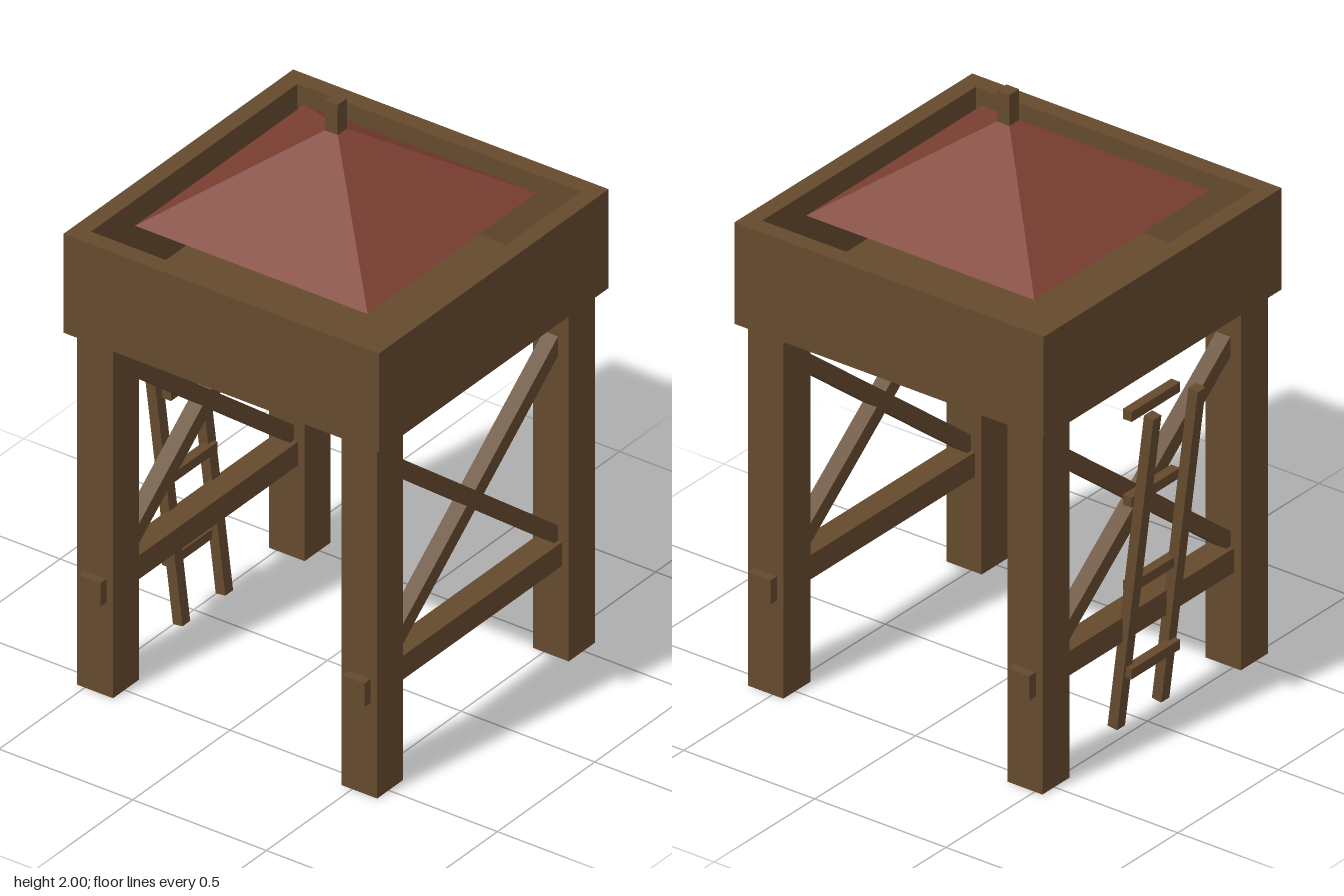
import * as THREE from 'three';

export function createModel() {
  const wood = new THREE.MeshStandardMaterial({ color: 0x654a2e });
  wood.name = 'brown wood';
  const red = new THREE.MeshStandardMaterial({ color: 0x7f4133, flatShading: true });
  red.name = 'red roof';

  const model = new THREE.Group();
  model.name = 'watchtower';
  const tower = new THREE.Group();
  tower.name = 'tower';
  tower.position.z = 0.032;
  model.add(tower);

  const box = (parent, name, size, pos) => {
    const mesh = new THREE.Mesh(new THREE.BoxGeometry(...size), wood);
    mesh.name = name;
    mesh.position.set(...pos);
    parent.add(mesh);
    return mesh;
  };

  // Legs
  for (const x of [-1, 1])
    for (const z of [-1, 1]) box(tower, 'leg', [0.134, 1.25, 0.134], [x * 0.492, 0.625, z * 0.494]);

  // Crossbeam and diagonal braces on the front and back
  for (const z of [-0.494, 0.494]) {
    box(tower, 'crossbeam', [1.18, 0.084, 0.084], [0, 0.372, z]);
    for (const s of [-1, 1])
      box(tower, 'diagonalBrace', [1.18, 0.054, 0.054], [0, 0.768, z]).rotation.z = s * 0.667;
  }

  // Platform floor
  box(tower, 'platformFloor', [1.18, 0.06, 1.18], [0, 1.282, 0]);

  // Parapet: one square ring with an open centre
  const square = (Type, h) => new Type([[-h, -h], [h, -h], [h, h], [-h, h]].map(p => new THREE.Vector2(...p)));
  const ring = square(THREE.Shape, 0.59);
  ring.holes.push(square(THREE.Path, 0.53));
  const parapetGeo = new THREE.ExtrudeGeometry(ring, { depth: 0.35, bevelEnabled: false });
  parapetGeo.rotateX(-Math.PI / 2);
  const parapet = new THREE.Mesh(parapetGeo, wood);
  parapet.name = 'parapet';
  parapet.position.y = 1.252;
  tower.add(parapet);

  // Pyramid roof and its finial
  const roofGeo = new THREE.ConeGeometry(0.435 * Math.SQRT2, 0.3, 4);
  roofGeo.rotateY(Math.PI / 4);
  const roof = new THREE.Mesh(roofGeo, red);
  roof.name = 'roof';
  roof.position.y = 1.76;
  tower.add(roof);
  box(tower, 'finial', [0.048, 0.11, 0.048], [0, 1.945, 0]);

  // Leaning ladder at the back
  const ladder = new THREE.Group();
  ladder.name = 'ladder';
  model.add(ladder);
  for (const x of [-0.11, 0.11])
    box(ladder, 'ladderRail', [0.04, 1.125, 0.036], [x, 0.58, -0.535]).rotation.x = -0.124;
  for (let i = 0; i < 4; i++)
    box(ladder, 'ladderRung', [0.24, 0.034, 0.034], [0, 0.224 + i * 0.296, -0.515]);

  return model;
}
